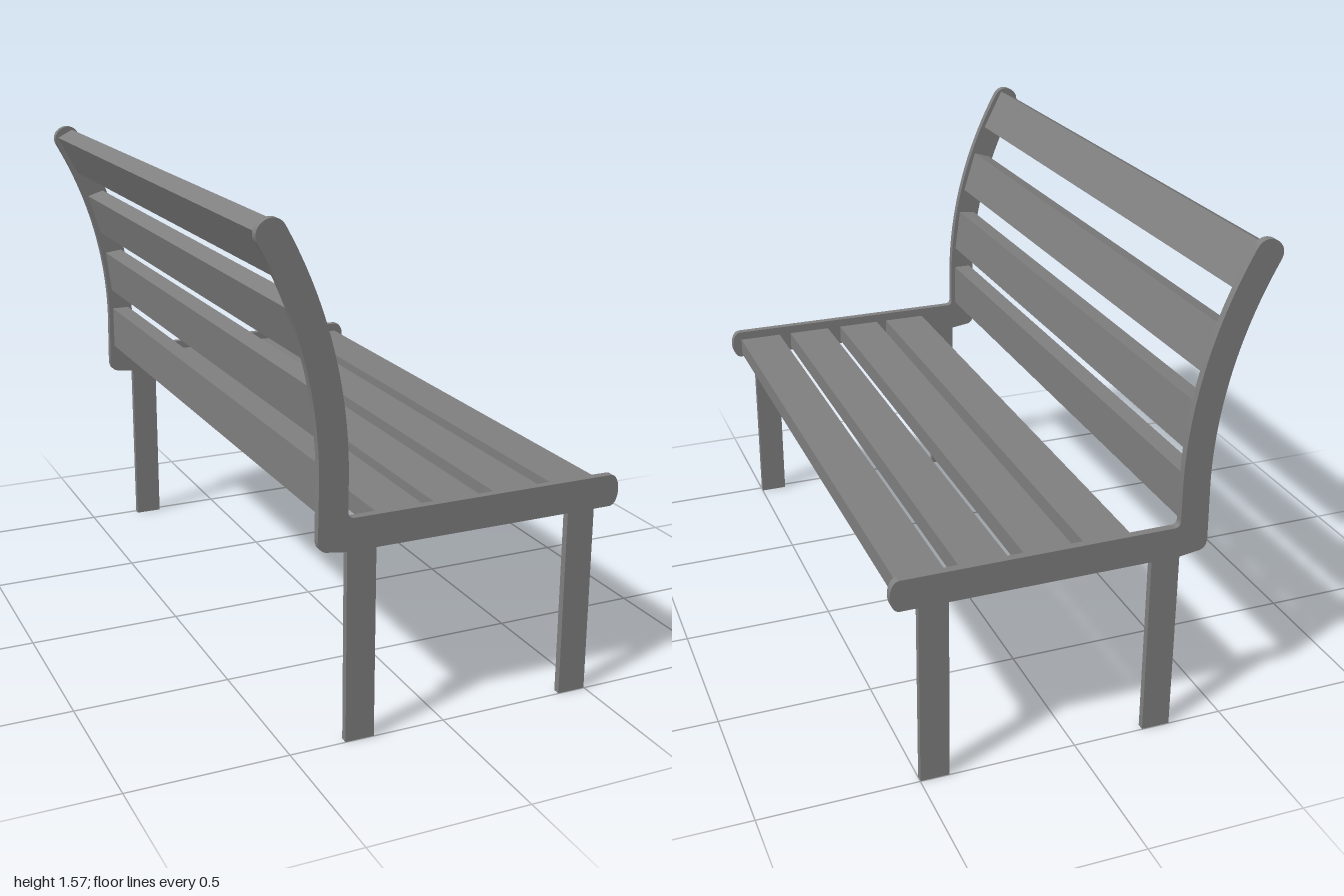
import * as THREE from 'three';

const ARC_X = -1.785, ARC_Y = 0.83; // centre of the backrest curve
const rad = THREE.MathUtils.degToRad;
const onArc = (r, a) => [ARC_X + r * Math.cos(a), ARC_Y + r * Math.sin(a)];

// Side profile: seat rail running into the curved backrest upright
function frameShape() {
  const end = rad(29.2), inner = 1.375, outer = 1.465;
  const [fx, fy] = onArc(outer, end), [bx, by] = onArc(inner, end);
  const ux = -Math.sin(end) * 0.058, uy = Math.cos(end) * 0.058;
  const s = new THREE.Shape();
  s.moveTo(-0.32, 0.6);
  s.lineTo(0.555, 0.6);
  s.bezierCurveTo(0.592, 0.605, 0.592, 0.695, 0.555, 0.7);
  s.lineTo(-0.3, 0.7);
  s.quadraticCurveTo(-0.32, 0.7, -0.32, 0.72);
  s.lineTo(-0.32, ARC_Y);
  s.absarc(ARC_X, ARC_Y, outer, 0, end, false);
  s.bezierCurveTo(fx + ux, fy + uy, bx + ux, by + uy, bx, by);
  s.absarc(ARC_X, ARC_Y, inner, end, 0, true);
  s.lineTo(-0.413, 0.65);
  s.quadraticCurveTo(-0.413, 0.612, -0.385, 0.609);
  s.closePath();
  return s;
}

export function createModel() {
  const group = new THREE.Group();
  const grey = new THREE.MeshStandardMaterial({ color: 0x808080 });
  grey.name = 'grey';

  const add = (name, geometry, x, y, z, tilt = 0) => {
    const mesh = new THREE.Mesh(geometry, grey);
    mesh.name = name;
    mesh.position.set(x, y, z);
    mesh.rotation.z = tilt;
    group.add(mesh);
  };

  // End frames with two flat legs each
  const frame = new THREE.ExtrudeGeometry(frameShape(), { depth: 0.025, bevelEnabled: false, curveSegments: 20 });
  const leg = new THREE.BoxGeometry(0.092, 0.6, 0.023);
  for (const side of [-1, 1]) {
    add('sideFrame', frame, 0, 0, side > 0 ? 0.975 : -1);
    add('backLeg', leg, -0.277, 0.3, side * 0.9875);
    add('frontLeg', leg, 0.453, 0.3, side * 0.9875);
  }

  // Seat slats
  const seatSlat = new THREE.BoxGeometry(0.152, 0.06, 1.95);
  for (const x of [-0.115, 0.075, 0.277, 0.473]) add('seatSlat', seatSlat, x, 0.64, 0);

  // Backrest slats follow the curve; the lowest stands upright below it
  const backSlat = new THREE.BoxGeometry(0.06, 0.15, 1.95);
  add('backSlat', backSlat, -0.365, 0.785, 0);
  for (const degrees of [7.3, 16.8, 27]) {
    const [x, y] = onArc(1.42, rad(degrees));
    add('backSlat', backSlat, x, y, 0, rad(degrees));
  }
  return group;
}
